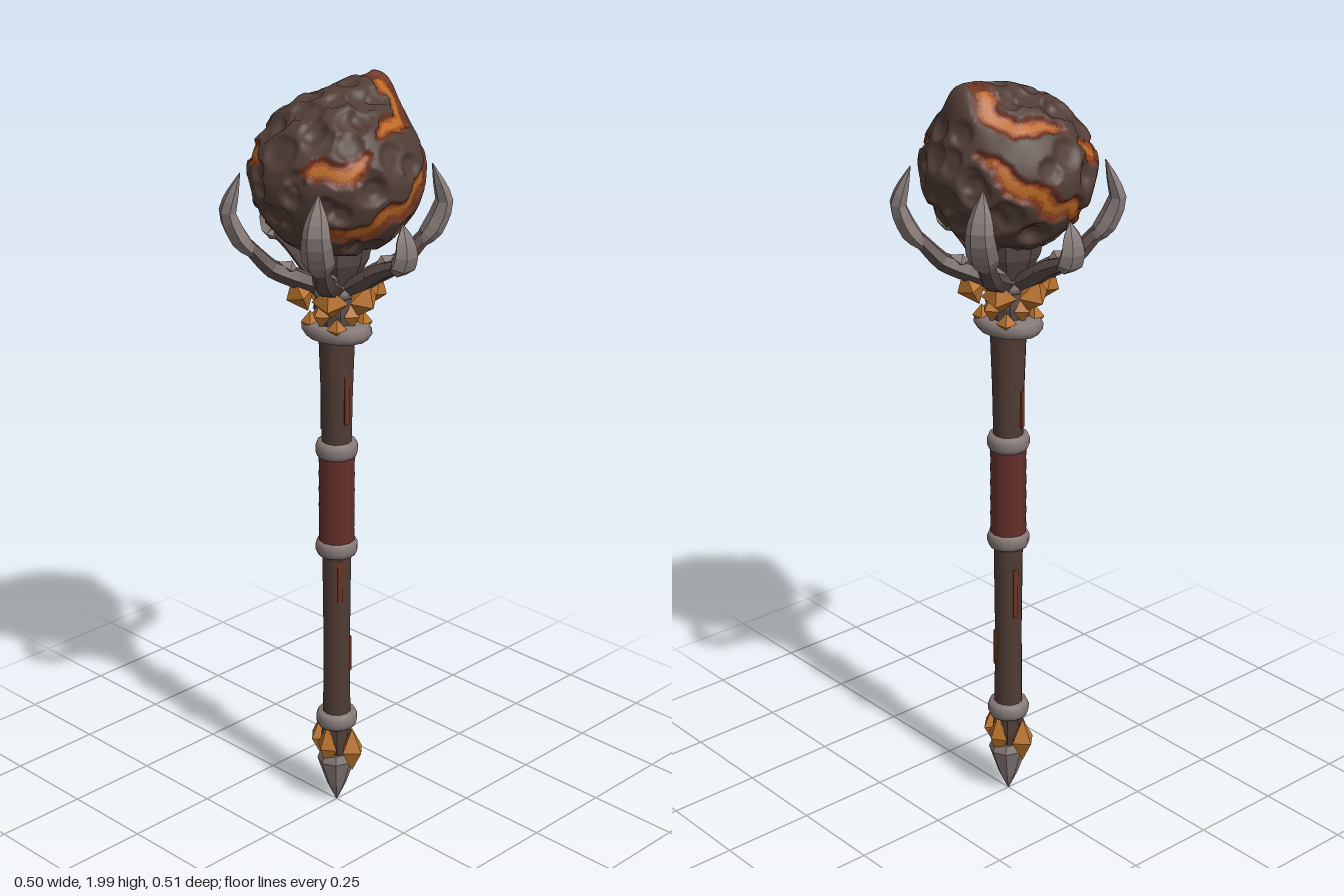
import * as THREE from 'three';
import { mergeVertices } from 'three/addons/utils/BufferGeometryUtils.js';

const mat = (name, color) => {
  const m = new THREE.MeshStandardMaterial({ color });
  m.name = name;
  return m;
};
const V = (x, y, z) => new THREE.Vector3(x, y, z);

// Faceted normals for hard-edged parts
function flat(geo) {
  const g = geo.index ? geo.toNonIndexed() : geo;
  g.computeVertexNormals();
  return g;
}

// Turned part from [radius, y] pairs, listed bottom to top
const lathe = (pts, sides) => new THREE.LatheGeometry(pts.map(p => new THREE.Vector2(p[0], p[1])), sides);
const turned = (pts, sides) => flat(lathe(pts, sides));

// Tapered, slightly angular horn along [r, y] points; radii spread evenly, wider sideways
function horn(pts, radii, wide) {
  const path = new THREE.CatmullRomCurve3(pts.map(p => V(p[0], p[1], 0)), false, 'catmullrom', 0.25);
  const steps = 10, sides = 6;
  const g = new THREE.TubeGeometry(path, steps, 1, sides);
  const pos = g.attributes.position;
  for (let i = 0; i < pos.count; i++) {
    const t = Math.floor(i / (sides + 1)) / steps;
    const k = t * (radii.length - 1), a = Math.min(Math.floor(k), radii.length - 2);
    const r = THREE.MathUtils.lerp(radii[a], radii[a + 1], k - a);
    const c = path.getPointAt(t);
    const p = V(0, 0, 0).fromBufferAttribute(pos, i).sub(c).multiplyScalar(r);
    pos.setXYZ(i, c.x + p.x, c.y + p.y, p.z * wide);
  }
  return flat(g);
}

// Molten cracks on the rock, mirrored front to back, as directions from its centre
const veins = [
  [[0.09, 0.2, 0], [0.105, 0.19, 0.04], [0.13, 0.16, 0.08], [0.11, 0.15, 0.12], [0.1, 0.14, 0.145], [0.02, 0.135, 0.165], [-0.03, 0.12, 0.18]],
  [[-0.19, 0.04, 0.08], [-0.17, 0.05, 0.12], [-0.13, 0.035, 0.16], [-0.07, 0.075, 0.18]],
  [[0.19, 0.08, 0.1], [0.15, 0.05, 0.14], [0.13, 0, 0.17], [0.07, -0.02, 0.2], [0.04, -0.065, 0.2], [-0.03, -0.07, 0.2], [-0.07, -0.115, 0.17], [-0.14, -0.115, 0.13], [-0.18, -0.08, 0.09]],
].map(v => new THREE.CatmullRomCurve3(v.map(p => V(...p))).getPoints(60).map(p => p.normalize()));

// Angular distance to the nearest crack, with ragged edges and tapering ends
function veinDistance(d) {
  const q = V(d.x, d.y, Math.abs(d.z));
  let best = 9;
  for (const v of veins) v.forEach((p, i) => {
    const end = Math.min(i, 60 - i) / 60;
    const a = q.distanceTo(p) + Math.max(0, 0.2 - end) * 0.4;
    if (a < best) best = a;
  });
  return best + 0.022 * Math.sin(q.x * 23 + q.y * 9) * Math.cos(q.y * 19 - q.z * 13);
}

function rockGeometry() {
  let g = new THREE.IcosahedronGeometry(1, 36);
  g.deleteAttribute('normal');
  g.deleteAttribute('uv');
  g = mergeVertices(g, 1e-4);
  // Craters spread evenly over the surface
  const craters = [];
  for (let i = 0; i < 56; i++) {
    const y = 1 - (2 * i + 1) / 56, a = i * 2.39996, s = Math.sqrt(1 - y * y);
    const c = V(Math.cos(a) * s, y, Math.abs(Math.sin(a) * s));
    if (veinDistance(c) > 0.2) craters.push({ c, r: 0.13 + 0.08 * ((i * 7) % 5) / 4 });
  }
  const peak = V(0.57, 0.82, 0).normalize(), slope = V(-0.65, 0.76, 0).normalize();
  const pos = g.attributes.position, dist = [];
  for (let i = 0; i < pos.count; i++) {
    const d = V(0, 0, 0).fromBufferAttribute(pos, i).normalize();
    const q = V(d.x, d.y, Math.abs(d.z));
    dist[i] = veinDistance(d);
    let r = 0.22 - 0.022 * Math.max(0, d.y);
    r += 0.058 * Math.exp(-d.distanceToSquared(peak) * 10) - 0.012 * Math.exp(-d.distanceToSquared(slope) * 3);
    r += 0.003 * Math.sin(d.x * 9 + 1) * Math.sin(d.y * 8) * Math.cos(d.z * 9);
    for (const { c, r: cr } of craters) {
      const k = q.distanceTo(c) / cr;
      if (k < 1) r -= 0.013 * (1 - k * k * k * k);
    }
    r -= 0.01 * (1 - THREE.MathUtils.smoothstep(dist[i], 0.1, 0.14));
    pos.setXYZ(i, d.x * r, d.y * r, d.z * r * (1 - 0.05 * Math.max(0, d.y)));
  }
  g.computeVertexNormals();
  // Sort faces into stone, ember edge, lava and glowing core
  const sets = [[], [], [], []], ix = g.index.array;
  for (let i = 0; i < ix.length; i += 3) {
    const f = [ix[i], ix[i + 1], ix[i + 2]];
    const m = (dist[f[0]] + dist[f[1]] + dist[f[2]]) / 3;
    const cool = pos.getY(f[0]) > 0.1 && Math.abs(pos.getZ(f[0])) < 0.03;
    sets[m > 0.14 ? 0 : m > 0.09 || cool ? 1 : m > 0.05 ? 2 : 3].push(...f);
  }
  g.setIndex(sets.flat());
  let start = 0;
  sets.forEach((s, i) => { g.addGroup(start, s.length, i); start += s.length; });
  return g;
}

export function createModel() {
  const root = new THREE.Group();
  root.name = 'mace';
  const stone = mat('stone', 0x513d36), ember = mat('ember', 0x6c3220), lava = mat('lava', 0x9e4c1b), glow = mat('glow', 0xbb6a26);
  const wood = mat('wood', 0x503c34), iron = mat('iron', 0x857977), darkIron = mat('darkIron', 0x5a4c48);
  const gold = mat('gold', 0xb8722c), leather = mat('leather', 0x652f2a);
  const add = (name, geo, m, parent = root) => {
    const o = new THREE.Mesh(geo, m);
    o.name = name;
    parent.add(o);
    return o;
  };
  const gem = (name, parent, m, x, y, sx, sy, sz, tilt = 0) => {
    const o = add(name, new THREE.OctahedronGeometry(1), m, parent);
    o.position.set(x, y, 0);
    o.scale.set(sx, sy, sz);
    o.rotation.z = tilt;
  };
  const spoke = (name, angle) => {
    const s = new THREE.Group();
    s.name = name;
    s.rotation.y = -angle;
    root.add(s);
    return s;
  };

  // Cratered rock head
  add('rockHead', rockGeometry(), [stone, ember, lava, glow]).position.y = 1.78;

  // Shaft with scorched streaks
  add('shaft', lathe([[0.038, 0.24], [0.036, 0.5], [0.039, 0.78], [0.039, 1.05], [0.042, 1.2], [0.048, 1.37]], 12), wood);
  [[1.2, 1.7, 0.16], [0.68, 2.1, 0.12], [0.45, 0.4, 0.1], [1.14, 4.4, 0.1], [0.62, 4.9, 0.14]].forEach(([y, a, h]) => {
    const s = spoke('streak', a);
    add('scorchStreak', new THREE.BoxGeometry(0.008, h, 0.014), ember, s).position.set(y > 1 ? 0.039 : 0.035, y, 0);
  });

  // Leather grip with soft wrapped ridges
  const wrap = [];
  for (let i = 0; i <= 12; i++) wrap.push([i % 2 ? 0.048 : 0.0465, 0.78 + i * 0.0215]);
  add('grip', lathe(wrap, 12), leather);

  // Iron bands
  for (const y of [0.265, 0.77, 1.045]) {
    const b = add('ironBand', lathe([[0.034, -0.022], [0.05, -0.02], [0.055, -0.008], [0.055, 0.008], [0.05, 0.02], [0.034, 0.022]], 14), iron);
    b.position.y = y;
  }

  // Pommel spike with gold studs
  add('pommelCore', turned([[0.036, 0.12], [0.042, 0.2], [0.038, 0.25]], 8), wood);
  const spike = add('pommelSpike', turned([[0.001, 0.008], [0.027, 0.06], [0.055, 0.14], [0.046, 0.162], [0.001, 0.175]], 8), iron);
  spike.scale.z = 0.9;
  for (let i = 0; i < 4; i++) {
    const s = spoke('pommelMount', i * Math.PI / 2), side = i % 2 === 0;
    gem('pommelStud', s, gold, side ? 0.036 : 0.058, 0.185, side ? 0.026 : 0.034, 0.064, 0.036);
  }

  // Collar below the head
  const ring = add('collarRing', lathe([[0.04, -0.02], [0.068, -0.018], [0.078, 0], [0.07, 0.018], [0.04, 0.022]], 14), iron);
  ring.position.y = 1.367;
  ring.scale.z = 1.3;
  add('collarNeck', turned([[0.05, 1.37], [0.058, 1.42], [0.052, 1.47]], 10), darkIron);
  add('upperRing', lathe([[0.04, 1.455], [0.06, 1.46], [0.064, 1.475], [0.058, 1.49], [0.03, 1.495]], 14), iron);
  add('headSocket', turned([[0.045, 1.48], [0.06, 1.51], [0.08, 1.55], [0.09, 1.6], [0.07, 1.605]], 8), darkIron);
  for (let i = 0; i < 4; i++) {
    const s = spoke('collarMount', i * Math.PI / 2);
    gem('collarStud', s, gold, 0.055, 1.415, 0.024, 0.036, 0.03);
    const t = spoke('collarTabMount', (i + 0.5) * Math.PI / 2);
    gem('collarTab', t, gold, 0.066, 1.385, 0.024, 0.03, 0.026);
  }

  // Six claws around the rock: taller on the corners, shorter front and back
  const corner = 0.6;
  [corner, Math.PI - corner, Math.PI + corner, -corner, Math.PI / 2, -Math.PI / 2].forEach((a, i) => {
    const s = spoke('claw', a), tall = i < 4;
    const arm = tall ? [[0.04, 1.48], [0.1, 1.505], [0.165, 1.535], [0.225, 1.6]]
                     : [[0.04, 1.48], [0.09, 1.51], [0.15, 1.55], [0.205, 1.575]];
    const tip = tall ? [[0.195, 1.56], [0.245, 1.62], [0.27, 1.685], [0.238, 1.78]]
                     : [[0.185, 1.562], [0.222, 1.578], [0.235, 1.615], [0.222, 1.685]];
    add('clawArm', horn(arm, [0.022, 0.026, 0.023, 0.018], 1.2), darkIron, s);
    add('clawTip', horn(tip, [0.006, 0.026, 0.024, 0.018, 0.001], 1.6), iron, s);
    gem('armPlate', s, iron, 0.12, 1.535, 0.03, 0.018, 0.03, 0.5);
    // Gold knuckle under each claw
    gem('goldKnuckle', s, gold, 0.092, 1.464, 0.038, 0.05, 0.046, -0.4);
  });

  return root;
}
